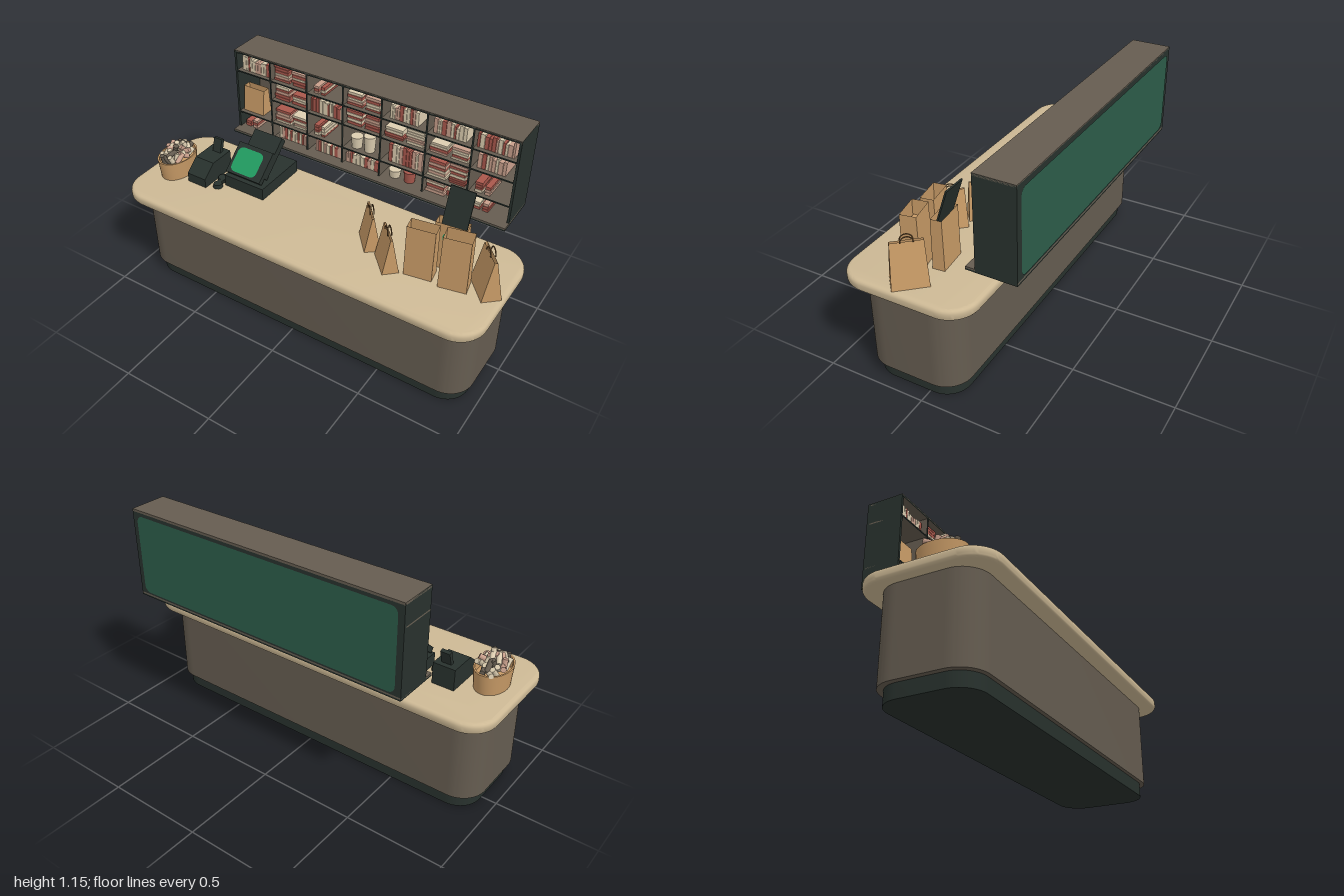
import * as THREE from 'three';
import { toCreasedNormals } from 'three/addons/utils/BufferGeometryUtils.js';

const material = (name, color, side = THREE.FrontSide) => {
  const m = new THREE.MeshStandardMaterial({ color, side });
  m.name = name;
  return m;
};

export function createModel() {
  const stone = material('countertop beige', 0xcdb995);
  const taupe = material('taupe cladding', 0x655c50);
  const dark = material('dark green black', 0x28312d);
  const kraft = material('kraft paper', 0xc79a66, THREE.DoubleSide);
  const cord = material('handle brown', 0x70512f);
  const cream = material('cream', 0xdccdb0);
  const red = material('dusty red', 0xa9584c);
  const pink = material('pale pink', 0xc9a08c);
  const panelGreen = material('panel green', 0x2c5c49);
  const screenGreen = material('screen green', 0x219a60);
  const goods = [cream, red, cream, pink, red];

  let seed = 7;
  const rand = (a = 0, b = 1) => {
    seed = (seed * 16807) % 2147483647;
    return a + (b - a) * (seed / 2147483647);
  };
  const pick = () => goods[Math.floor(rand(0, goods.length))];

  const model = new THREE.Group();
  model.name = 'shopCounter';
  const group = (name, parent = model) => {
    const g = new THREE.Group();
    g.name = name;
    parent.add(g);
    return g;
  };
  const add = (parent, name, geo, mat, x = 0, y = 0, z = 0) => {
    const m = new THREE.Mesh(geo, mat);
    m.name = name;
    m.position.set(x, y, z);
    parent.add(m);
    return m;
  };
  const box = (parent, name, mat, w, h, d, x, y, z) =>
    add(parent, name, new THREE.BoxGeometry(w, h, d), mat, x, y, z);
  // box given by its minimum and maximum corners
  const span = (parent, name, mat, x0, x1, y0, y1, z0, z1) =>
    box(parent, name, mat, x1 - x0, y1 - y0, z1 - z0, (x0 + x1) / 2, (y0 + y1) / 2, (z0 + z1) / 2);

  const roundedRect = (w, h, r) => {
    const s = new THREE.Shape(), x = w / 2, y = h / 2;
    s.absarc(x - r, y - r, r, 0, Math.PI / 2);
    s.absarc(-x + r, y - r, r, Math.PI / 2, Math.PI);
    s.absarc(-x + r, -y + r, r, Math.PI, Math.PI * 1.5);
    s.absarc(x - r, -y + r, r, Math.PI * 1.5, Math.PI * 2);
    return s;
  };
  // horizontal slab with rounded corners and optionally rounded edges
  const slab = (name, mat, w, d, r, y0, y1, x, z, bevel = 0) => {
    const geo = new THREE.ExtrudeGeometry(roundedRect(w - 2 * bevel, d - 2 * bevel, r - bevel), {
      depth: y1 - y0 - 2 * bevel, curveSegments: 10, bevelEnabled: bevel > 0,
      bevelThickness: bevel, bevelSize: bevel, bevelSegments: 4,
    });
    geo.rotateX(-Math.PI / 2);
    add(model, name, toCreasedNormals(geo, 0.7), mat, x, y0 + bevel, z);
  };

  // Counter
  slab('counterPlinth', dark, 1.85, 0.46, 0.12, 0, 0.075, 0.003, 0.09);
  slab('counterBody', taupe, 1.9, 0.5, 0.13, 0.07, 0.51, 0.002, 0.09);
  slab('counterTop', stone, 2, 0.656, 0.14, 0.5, 0.555, 0, 0.092, 0.018);
  const top = 0.555;

  // Wall shelf: case
  const shelf = group('wallShelf');
  const cols = [-0.7, -0.48, -0.26, -0.05, 0.165, 0.405, 0.635, 0.86];
  const rows = [0.705, 0.80, 0.935, 1.043, 1.15];
  const front = -0.218, back = -0.416;
  span(shelf, 'shelfTop', taupe, -0.7, 0.86, 1.143, 1.155, back, front);
  span(shelf, 'shelfLedge', taupe, -0.7, 0.86, 0.698, 0.706, back, -0.172);
  span(shelf, 'shelfUnderside', dark, -0.7, 0.86, 0.69, 0.698, back, -0.172);
  span(shelf, 'shelfBack', taupe, -0.69, 0.85, 0.7, 1.15, -0.408, -0.4);
  span(shelf, 'shelfBackFrame', dark, -0.7, 0.86, 0.69, 1.15, back, -0.408);
  for (const [i, x] of [-0.7, 0.848].entries())
    span(shelf, i ? 'leftSide' : 'rightSide', dark, x, x + 0.012, 0.69, 1.154, back, front);
  const panel = new THREE.ShapeGeometry(roundedRect(1.5, 0.41, 0.035));
  add(shelf, 'backPanel', panel, panelGreen, 0.08, 0.922, -0.419).rotation.y = Math.PI;

  // Wall shelf: dividers and boards with dark front trim
  for (const x of cols.slice(1, -1)) {
    span(shelf, 'divider', taupe, x - 0.004, x + 0.004, 0.705, 1.145, -0.4, front - 0.003);
    span(shelf, 'dividerTrim', dark, x - 0.004, x + 0.004, 0.705, 1.145, front - 0.003, front);
  }
  rows.slice(1).forEach((y, i) => {
    const x0 = i === 1 ? cols[1] : cols[0];
    span(shelf, 'board', taupe, x0, 0.85, y - 0.007, y, -0.4, front - 0.003);
    span(shelf, 'boardTrim', dark, x0, 0.855, y - 0.007, y, front - 0.003, front + 0.001);
  });

  // Shelf goods: V upright books, H flat stacks, h low stack, C cups
  const fill = {
    V(x0, x1, y, h) {
      const end = x1 - rand(0.02, 0.07);
      for (let x = x0 + rand(0.01, 0.04); x < end;) {
        const w = rand(0.01, 0.024), t = h * rand(0.6, 0.85), d = rand(0.09, 0.13);
        box(shelf, 'uprightBook', pick(), w - 0.002, t, d, x + w / 2, y + t / 2, -0.24 - d / 2);
        x += w;
      }
    },
    H(x0, x1, y, h, full = 0.8) {
      const mid = (x0 + x1) / 2;
      for (const [a, b] of [[x0 + 0.008, mid - 0.005], [mid + 0.005, x1 - 0.015]]) {
        const limit = h * full * rand(0.6, 1);
        for (let t = 0; t < limit;) {
          const k = rand(0.011, 0.018), w = (b - a) * rand(0.8, 1);
          box(shelf, 'flatBook', pick(), w, k - 0.002, 0.13, (a + b) / 2, y + t + k / 2, -0.305);
          t += k;
        }
      }
    },
    h(x0, x1, y, h) { fill.H(x0 + 0.02, x1 - 0.1, y, h, 0.45); },
    C(x0, x1, y, h) {
      for (const [f, s] of [[0.28, 0.5], [0.62, 0.7]])
        add(shelf, 'cup', new THREE.CylinderGeometry(0.032, 0.026, h * s, 16), pick(),
          x0 + (x1 - x0) * f, y + h * s / 2, -0.265);
    },
  };
  ['hVVVCHh', ' HhCVHh', ' HVHHHV', 'VHhHVVV'].forEach((line, r) => {
    [...line].forEach((kind, c) => {
      if (fill[kind]) fill[kind](cols[c], cols[c + 1], rows[r], rows[r + 1] - rows[r] - 0.01);
    });
  });

  // Paper bag: open tapered box, optionally with two rope handles
  const paperBag = (x, y, z, w, h, d, topW, topD, turn, handles) => {
    const bag = group('paperBag');
    bag.position.set(x, y, z);
    bag.rotation.y = turn;
    const geo = new THREE.CylinderGeometry(Math.SQRT1_2, Math.SQRT1_2, 1, 4, 1, true)
      .rotateY(Math.PI / 4).toNonIndexed();
    const p = geo.attributes.position;
    for (let i = 0; i < p.count; i++) {
      const up = p.getY(i) > 0;
      p.setXYZ(i, p.getX(i) * w * (up ? topW : 1), up ? h : 0, p.getZ(i) * d * (up ? topD : 1));
    }
    geo.computeVertexNormals();
    add(bag, 'bagWalls', geo, kraft);
    box(bag, 'bagFilling', kraft, w * 0.9, 0.004, d * (0.1 + 0.8 * topD), 0, h * 0.8 * topD + 0.003, 0);
    if (handles) for (const s of [-1, 1])
      add(bag, 'bagHandle', new THREE.TorusGeometry(0.028, 0.003, 6, 16, Math.PI), cord,
        0, h - 0.002, s * (d * topD / 2 + 0.004));
    return bag;
  };
  paperBag(0.30, top, 0.085, 0.15, 0.19, 0.08, 0.9, 0.12, -0.87, true);
  paperBag(0.443, top, 0.175, 0.15, 0.19, 0.08, 0.9, 0.12, -0.82, true);
  paperBag(0.602, top, 0.15, 0.135, 0.275, 0.075, 1, 0.85, 0.16, false);
  paperBag(0.768, top, 0.135, 0.135, 0.285, 0.085, 0.95, 0.9, 0.2, false);
  paperBag(0.90, top, 0.085, 0.165, 0.215, 0.095, 0.88, 0.15, -0.84, true);
  const rearBag = paperBag(0.692, top, 0.036, 0.15, 0.255, 0.06, 1, 0.9, 0.1, false);
  add(rearBag, 'roundSticker', new THREE.CircleGeometry(0.035, 24), screenGreen, 0, 0.18, 0.0305);
  paperBag(-0.615, rows[1], -0.275, 0.125, 0.14, 0.07, 1, 0.6, 0, false);

  // Leaning display card
  box(model, 'displayCard', dark, 0.122, 0.2, 0.008, 0.697, 0.865, 0.006).rotation.x = -0.32;

  // Cash register
  const register = group('cashRegister');
  span(register, 'cashDrawer', dark, -0.56, -0.32, top, 0.62, -0.205, 0.1);
  const tilted = (name, w, l, t, x, y, z) => {
    const g = group(name, register);
    g.position.set(x, y, z);
    g.rotation.x = -0.87;
    box(g, name + 'Slab', dark, w, l, t, 0, 0, 0);
    return g;
  };
  tilted('screenBacking', 0.17, 0.225, 0.04, -0.43, 0.712, -0.045);
  const screen = tilted('screen', 0.21, 0.17, 0.03, -0.447, 0.69, 0.022);
  add(screen, 'screenFace', new THREE.ShapeGeometry(roundedRect(0.155, 0.135, 0.03)), screenGreen, -0.012, -0.005, 0.0155);
  box(register, 'screenStand', dark, 0.1, 0.07, 0.06, -0.43, 0.645, -0.02);

  // Receipt printer and hand scanner
  const printer = group('receiptPrinter');
  const profile = new THREE.Shape([[-0.04, 0], [0.175, 0], [0.175, 0.05], [0.1, 0.11], [-0.04, 0.11]]
    .map(([a, b]) => new THREE.Vector2(a, b)));
  const casing = new THREE.ExtrudeGeometry(profile, { depth: 0.115, bevelEnabled: false });
  add(printer, 'printerCasing', casing.rotateY(-Math.PI / 2), dark, -0.63, top, 0);
  box(printer, 'printerRear', dark, 0.05, 0.09, 0.02, -0.683, 0.69, -0.01).rotation.x = -0.3;
  const scanner = group('handScanner');
  for (const [x, z, r] of [[-0.597, 0.07, 0.03], [-0.585, 0.13, 0.026]])
    add(scanner, 'scannerPad', new THREE.CylinderGeometry(r * 0.85, r, 0.02, 18), dark, x, top + 0.01, z);
  box(scanner, 'scannerNeck', dark, 0.025, 0.018, 0.06, -0.59, top + 0.01, 0.1);

  // Oval basket with rolled goods
  const basket = group('basket');
  basket.position.set(-0.853, top, 0.122);
  const wall = [[0, 0], [0.077, 0], [0.085, 0.105], [0.078, 0.105], [0.073, 0.06], [0, 0.06]]
    .map(([a, b]) => new THREE.Vector2(a, b));
  add(basket, 'basketWall', toCreasedNormals(new THREE.LatheGeometry(wall, 32), 0.6), kraft).scale.z = 1.43;
  const rolls = [cream, pink, cream, taupe];
  for (let i = 0; i < 30; i++) {
    const a = i * 2.4, f = Math.sqrt((i + 0.5) / 30);
    const roll = add(basket, 'roll', new THREE.CylinderGeometry(0.013, 0.013, 0.06, 10), rolls[i % 4],
      Math.cos(a) * 0.062 * f, 0.15 - 0.045 * f + rand(-0.012, 0.012), Math.sin(a) * 0.092 * f);
    roll.rotation.set(rand(-1.1, 1.1), rand(0, 3), rand(-1.1, 1.1));
  }
  return model;
}
